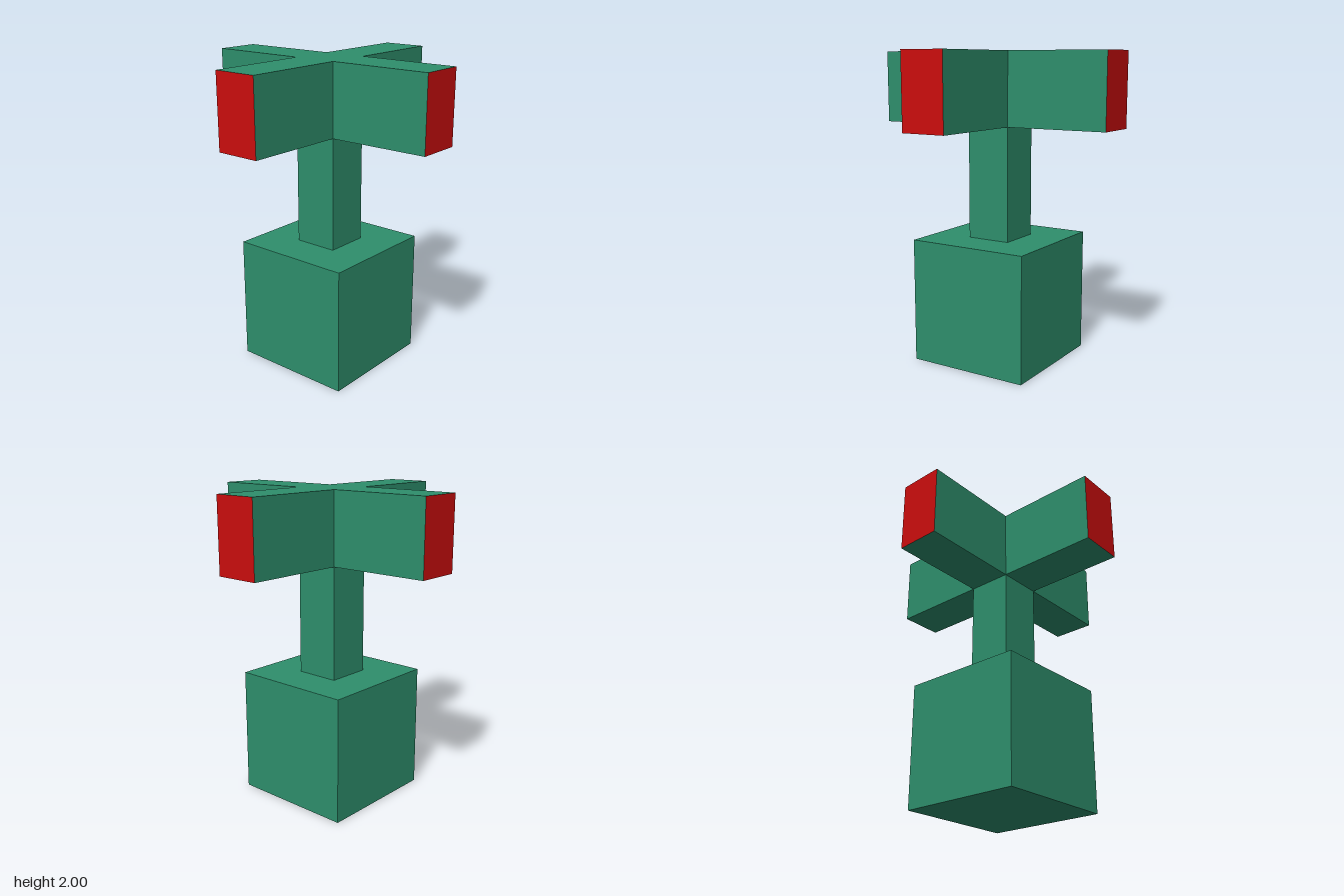
import * as THREE from 'three';

export function createModel() {
  const green = new THREE.MeshStandardMaterial({ name: 'green', color: 0x2e8f6c });
  const red = new THREE.MeshStandardMaterial({ name: 'red', color: 0xcc0d0d });

  const height = 2;
  const base = 0.806;      // side of the base cube
  const thick = 0.29;      // width of post and arms
  const reach = 0.806;     // arm tip distance from the axis
  const armHeight = 0.466;

  const model = new THREE.Group();
  model.name = 'crossPost';

  function addBox(name, w, h, d, y, material, parent = model) {
    const mesh = new THREE.Mesh(new THREE.BoxGeometry(w, h, d), material);
    mesh.name = name;
    mesh.position.y = y;
    parent.add(mesh);
    return mesh;
  }

  // Base cube and the post that rises through the centre of the cross
  addBox('base', base, base, base, base / 2, green);
  addBox('post', thick, height - base, thick, (height + base) / 2, green);

  // Four arms around the post, each with a red outer end (+z face)
  const armLength = reach - thick / 2;
  const armMaterials = [green, green, green, green, red, green];
  ['frontArm', 'leftArm', 'backArm', 'rightArm'].forEach((name, i) => {
    const pivot = new THREE.Group();
    pivot.name = name;
    pivot.rotation.y = i * Math.PI / 2;
    const arm = addBox(name + 'Beam', thick, armHeight, armLength, height - armHeight / 2, armMaterials, pivot);
    arm.position.z = thick / 2 + armLength / 2;
    model.add(pivot);
  });

  return model;
}
